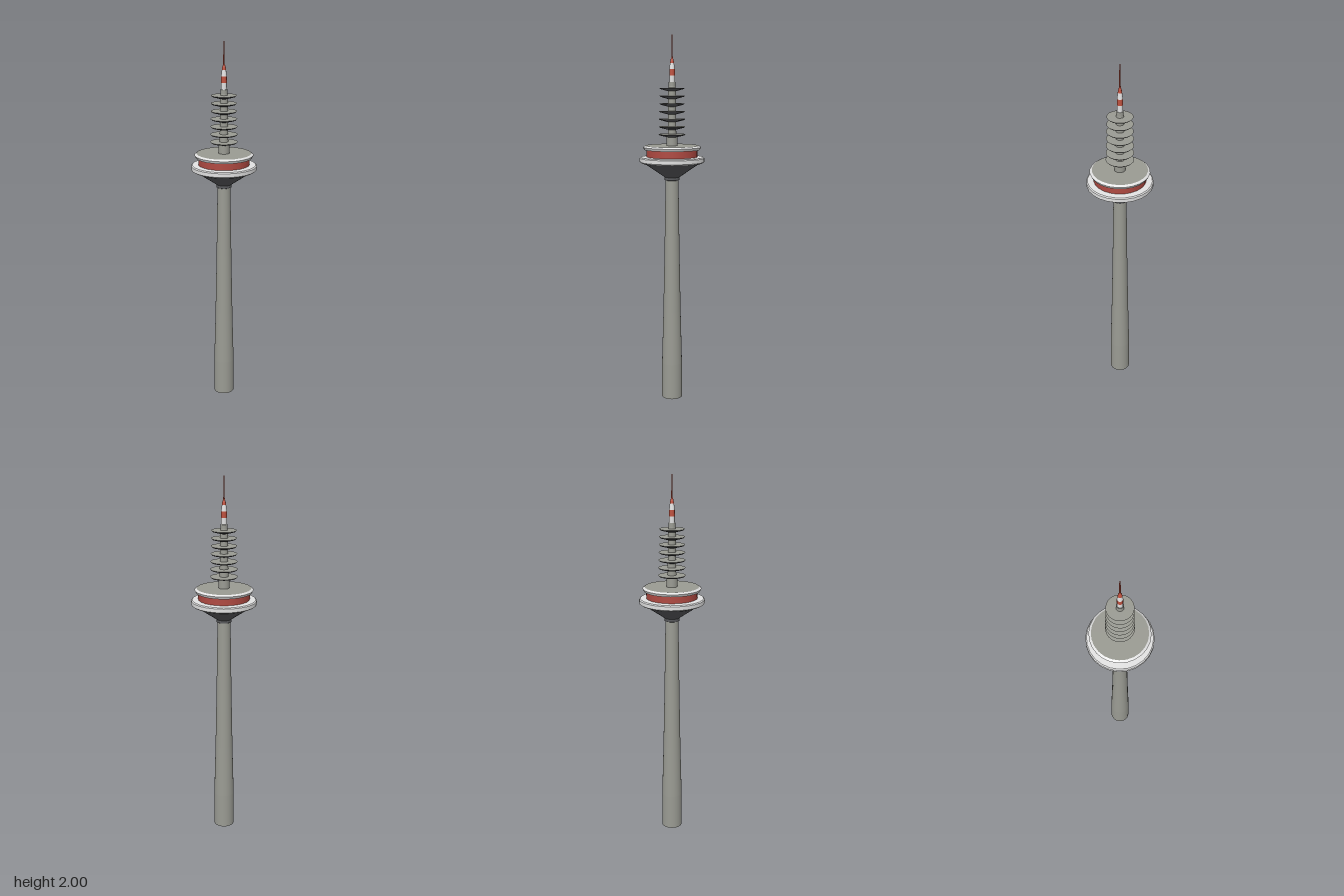
import * as THREE from 'three';

const SIDES = 24;
const paint = (name, color) => {
  const m = new THREE.MeshStandardMaterial({ color });
  m.name = name;
  return m;
};

export function createModel() {
  const tower = new THREE.Group();
  tower.name = 'tower';

  const concrete = paint('concrete grey', 0x9a9b93);
  const dark = paint('dark grey', 0x58595c);
  const white = paint('white', 0xe2e2e2);
  const red = paint('red', 0xc0523f);
  const podRed = paint('window red', 0xb04a42);

  // Adds a turned part; each profile segment is its own band, so edges stay crisp
  function turned(name, material, profile, sides = SIDES, parent = tower) {
    const part = new THREE.Group();
    part.name = name;
    for (let i = 0; i < profile.length - 1; i++) {
      const pair = [profile[i], profile[i + 1]].map(([r, y]) => new THREE.Vector2(r, y));
      const band = new THREE.Mesh(new THREE.LatheGeometry(pair, sides), material);
      band.name = name + 'Band';
      part.add(band);
    }
    parent.add(part);
    return part;
  }

  // Tapering shaft
  turned('shaft', concrete, [
    [0, 0], [0.057, 0], [0.056, 0.2], [0.048, 0.5], [0.041, 0.85], [0.035, 1.24],
  ]);

  // Pod: collar and funnel-shaped underside
  turned('podCollar', dark, [[0.034, 1.232], [0.041, 1.235], [0.041, 1.25]]);
  turned('podFunnel', dark, [[0.041, 1.25], [0.14, 1.318], [0.168, 1.328]]);

  // Pod: lower white ring, red window drum, upper white ring, roof
  turned('lowerRing', white, [
    [0.168, 1.328], [0.175, 1.333], [0.175, 1.353], [0.169, 1.358], [0.137, 1.36],
  ]);
  turned('windowDrum', podRed, [[0.137, 1.358], [0.137, 1.4]]);
  turned('upperRing', white, [
    [0.137, 1.398], [0.15, 1.398], [0.157, 1.412], [0.145, 1.42],
  ]);
  turned('roof', concrete, [[0.145, 1.42], [0, 1.42]]);

  // Antenna mast
  turned('mastBase', concrete, [[0.029, 1.42], [0.029, 1.475]]);
  turned('mast', concrete, [[0.023, 1.47], [0.02, 1.72], [0.018, 1.735], [0.018, 1.756], [0, 1.756]]);

  // Antenna platforms: pale flat tops over dark tapered undersides
  const platforms = new THREE.Group();
  platforms.name = 'platforms';
  tower.add(platforms);
  for (let i = 0; i < 7; i++) {
    const y = 1.477 + i * 0.0407;
    const r = 0.073 - i * 0.001;
    turned('platformUnderside', dark, [[0.022, y - 0.013], [r - 0.006, y - 0.002], [r, y + 0.004]], SIDES, platforms);
    turned('platformTop', concrete, [[r, y + 0.004], [0.018, y + 0.005]], SIDES, platforms);
  }

  // Striped upper antenna
  turned('lowerWhiteStripe', white, [[0.015, 1.755], [0.015, 1.79]], 12);
  turned('lowerRedStripe', red, [[0.015, 1.79], [0.015, 1.823]], 12);
  turned('upperWhiteStripe', white, [[0.015, 1.823], [0.011, 1.855]], 12);
  turned('upperRedStripe', red, [[0.011, 1.855], [0.009, 1.868], [0.004, 1.885]], 12);
  turned('tip', red, [[0.004, 1.885], [0.003, 2], [0, 2]], 8);

  return tower;
}
